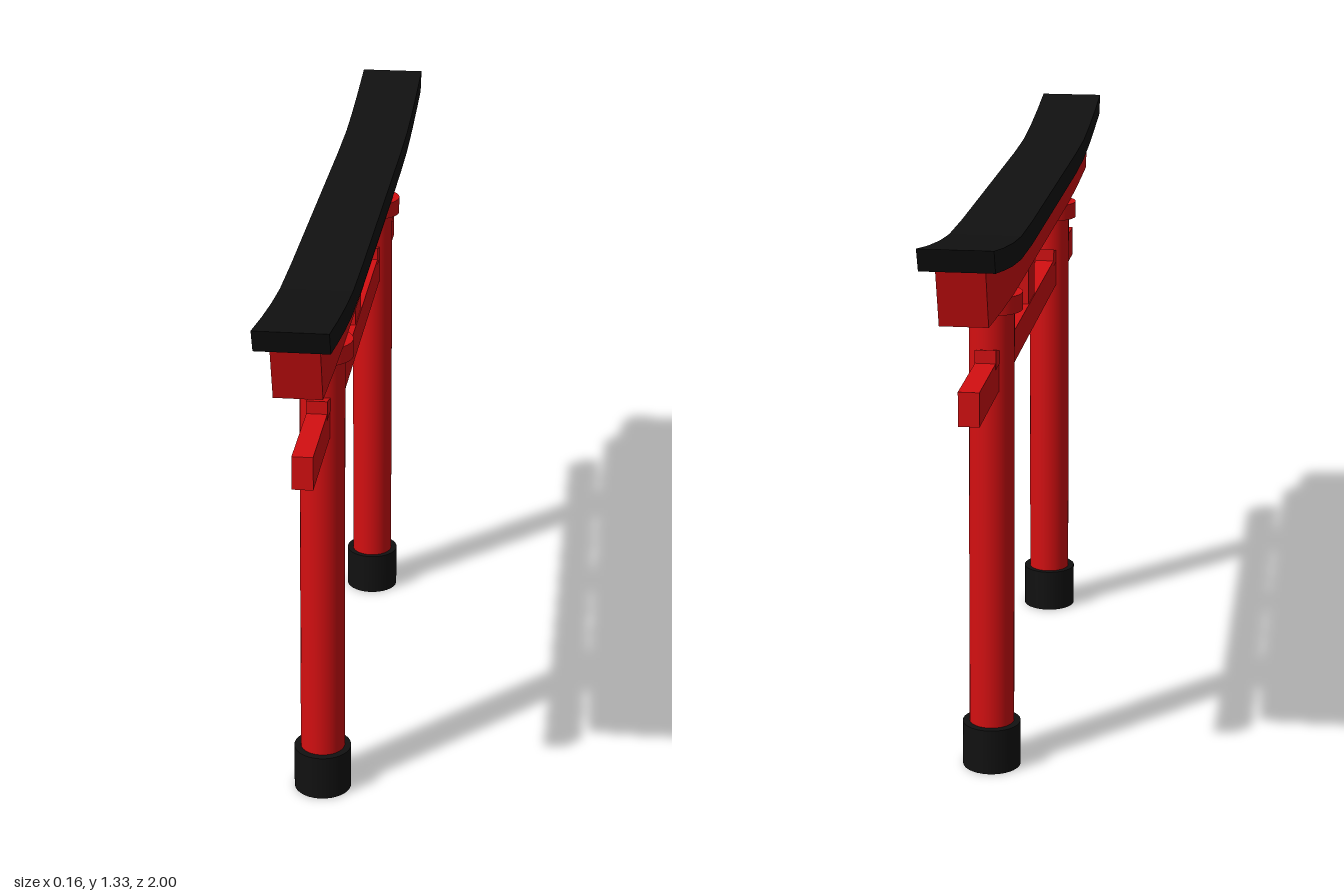
import * as THREE from 'three';

const red = new THREE.MeshStandardMaterial({ color: 0xd40f11 });
red.name = 'vermilion paint';
const black = new THREE.MeshStandardMaterial({ color: 0x111111 });
black.name = 'black lacquer';

function add(group, name, geometry, material, x = 0, y = 0, z = 0) {
  const mesh = new THREE.Mesh(geometry, material);
  mesh.name = name;
  mesh.position.set(x, y, z);
  group.add(mesh);
  return mesh;
}

// Extrudes a [z, y] outline across x, centred on x = 0
function slab(points, width) {
  const shape = new THREE.Shape(points.map(([z, y]) => new THREE.Vector2(z, y)));
  const geometry = new THREE.ExtrudeGeometry(shape, { depth: width, bevelEnabled: false });
  geometry.translate(0, 0, -width / 2);
  return geometry.rotateY(-Math.PI / 2);
}

// Closed symmetric outline from the +z halves of the lower and upper edges
function mirrored(lower, upper) {
  const flip = ([z, y]) => [-z, y];
  return [
    ...lower.map(flip).reverse(), ...lower,
    ...[...upper].reverse(), ...upper.map(flip),
  ];
}

export function createModel() {
  const gate = new THREE.Group();
  gate.name = 'gate';

  // Curved top beam and the red lintel tucked under it
  const roofUnder = [[0.42, 1.212], [0.6, 1.218], [0.74, 1.234], [0.86, 1.253], [0.98, 1.274]];
  const roofTop = [[0.42, 1.265], [0.6, 1.269], [0.72, 1.281], [0.86, 1.301], [1, 1.325]];
  add(gate, 'roofBeam', slab(mirrored(roofUnder, roofTop), 0.158), black);

  const lintelUnder = [[0.5, 1.122], [0.7, 1.128], [0.897, 1.14]];
  const lintelTop = [[0.42, 1.214], [0.6, 1.22], [0.74, 1.236], [0.86, 1.255], [0.935, 1.267]];
  add(gate, 'lintel', slab(mirrored(lintelUnder, lintelTop), 0.104), red);

  // Tie beam through the pillars and the short centre strut
  add(gate, 'tieBeam', new THREE.BoxGeometry(0.046, 0.076, 1.68), red, 0, 0.946, 0);
  add(gate, 'centreStrut', new THREE.BoxGeometry(0.042, 0.15, 0.114), red, 0, 1.053, 0);

  for (const side of [1, -1]) {
    const name = side > 0 ? 'front' : 'back';

    // Pillar leaning slightly inward
    const pillar = new THREE.CylinderGeometry(0.051, 0.052, 1.1, 32);
    const lean = (0.533 - 0.507) / 1.1;
    const pos = pillar.attributes.position;
    for (let i = 0; i < pos.count; i++) {
      pos.setZ(i, pos.getZ(i) - side * lean * pos.getY(i));
    }
    add(gate, name + 'Pillar', pillar, red, 0, 0.56, side * 0.52);

    // Foot sleeve and collar
    add(gate, name + 'Foot', new THREE.CylinderGeometry(0.067, 0.067, 0.108, 32), black, 0, 0.054, side * 0.533);
    add(gate, name + 'Collar', new THREE.CylinderGeometry(0.069, 0.069, 0.04, 32), red, 0, 1.103, side * 0.507);

    // Wedges on the tie beam, tops falling toward the pillar
    for (const [far, near] of [[0.607, 0.53], [0.415, 0.49]]) {
      const outline = [[far, 0.97], [near, 0.97], [near, 0.995], [far, 1.014]]
        .map(([z, y]) => [z * side, y]);
      add(gate, name + 'Wedge', slab(outline, 0.047), red);
    }
  }
  return gate;
}
